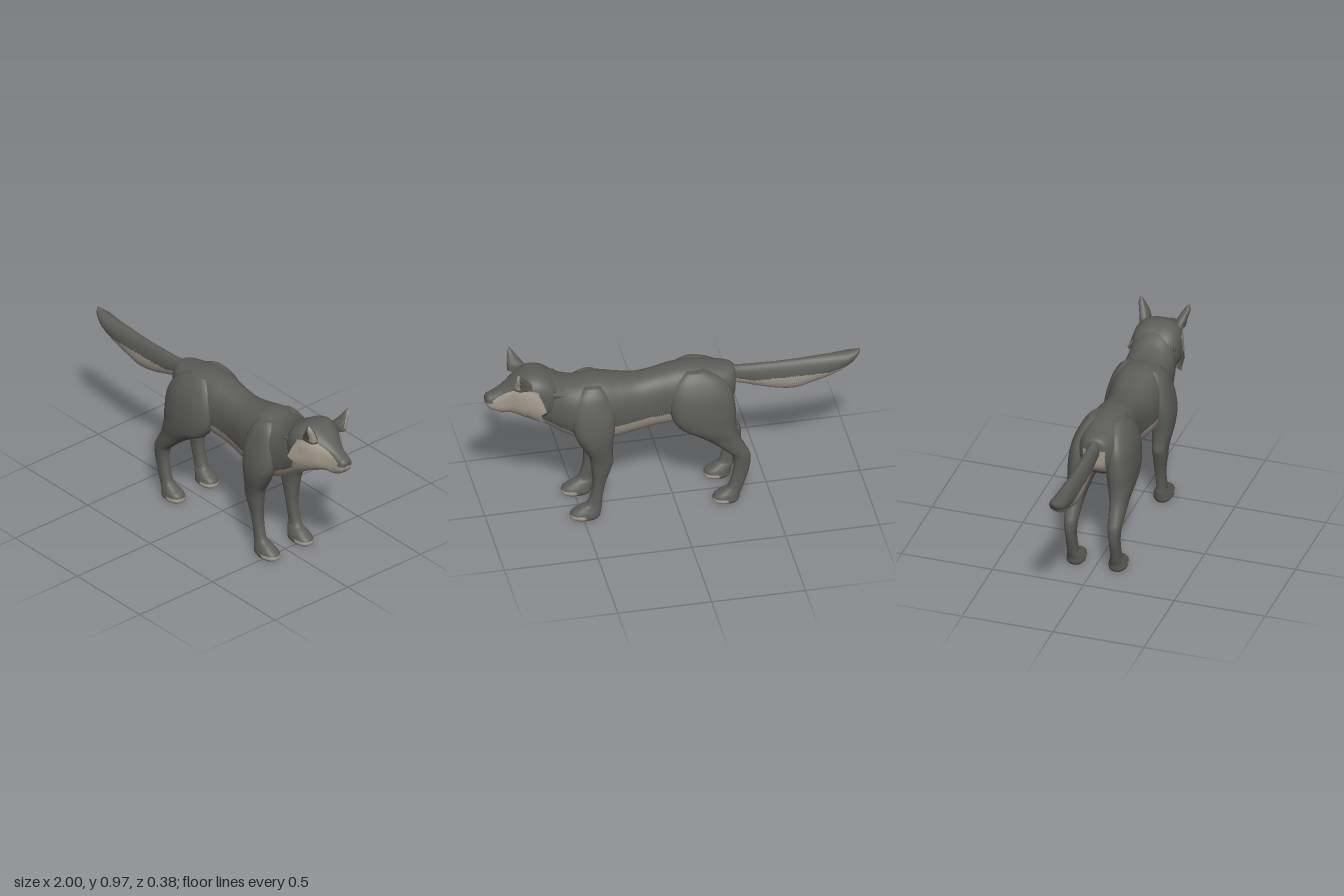
import * as THREE from 'three';

const coat = new THREE.MeshStandardMaterial({ color: 0x5c5d58 });
coat.name = 'dark grey coat';
const pale = new THREE.MeshStandardMaterial({ color: 0xa69b8e });
pale.name = 'pale underfur';

// Smooth interpolation through the rows of numbers that describe a part
function smoothRows(rows, steps) {
  const out = [];
  for (let i = 0; i < rows.length - 1; i++) {
    const a = rows[Math.max(i - 1, 0)], b = rows[i], c = rows[i + 1], d = rows[Math.min(i + 2, rows.length - 1)];
    for (let s = 0; s < steps; s++) {
      const t = s / steps;
      out.push(b.map((v, k) => {
        const m0 = (c[k] - a[k]) / 2, m1 = (d[k] - v) / 2;
        return v + m0 * t + (3 * (c[k] - v) - 2 * m0 - m1) * t * t + (2 * (v - c[k]) + m0 + m1) * t * t * t;
      }));
    }
  }
  out.push(rows[rows.length - 1]);
  return out;
}

// Loft of rounded rings. Each row is [t, aMin, aMax, zMin, zMax]:
// axis 'x' runs along x with a = y, axis 'y' runs up y with a = x.
// isPale(centre, normal) picks the colour of each triangle.
function loft(name, axis, rows, isPale, { steps = 6, segs = 48, power = 0.85 } = {}) {
  const pos = [], tris = [];
  const rings = smoothRows(rows, steps);
  const put = (t, a, z) => (axis === 'x' ? pos.push(t, a, z) : pos.push(a, t, z));
  const bend = (v) => Math.sign(v) * Math.abs(v) ** power;
  for (const [t, a0, a1, z0, z1] of rings) {
    for (let j = 0; j < segs; j++) {
      const q = (j / segs) * Math.PI * 2;
      put(t, (a0 + a1) / 2 + bend(Math.sin(q)) * (a1 - a0) / 2, (z0 + z1) / 2 + bend(Math.cos(q)) * (z1 - z0) / 2);
    }
  }
  const tri = (a, b, c) => tris.push(axis === 'x' ? [a, b, c] : [a, c, b]);
  const n = rings.length;
  for (const r of [rings[0], rings[n - 1]]) put(r[0], (r[1] + r[2]) / 2, (r[3] + r[4]) / 2);
  for (let j = 0; j < segs; j++) {
    const k = (j + 1) % segs;
    for (let i = 0; i < n - 1; i++) {
      const p = i * segs, q = p + segs;
      tri(p + j, q + j, p + k);
      tri(p + k, q + j, q + k);
    }
    tri(n * segs, j, k);
    tri(n * segs + 1, (n - 1) * segs + k, (n - 1) * segs + j);
  }
  // Sort the triangles into a dark and a pale group
  const at = (i) => new THREE.Vector3().fromArray(pos, i * 3);
  const sorted = [[], []];
  for (const f of tris) {
    const [a, b, c] = f.map(at);
    const normal = new THREE.Triangle(a, b, c).getNormal(new THREE.Vector3());
    const centre = a.add(b).add(c).divideScalar(3);
    sorted[isPale && isPale(centre, normal) ? 1 : 0].push(...f);
  }
  const geo = new THREE.BufferGeometry();
  geo.setAttribute('position', new THREE.Float32BufferAttribute(pos, 3));
  geo.setIndex([...sorted[0], ...sorted[1]]);
  geo.addGroup(0, sorted[0].length, 0);
  geo.addGroup(sorted[0].length, sorted[1].length, 1);
  geo.computeVertexNormals();
  const mesh = new THREE.Mesh(geo, [coat, pale]);
  mesh.name = name;
  return mesh;
}

// Rows [x, bottom, top, halfWidth] of a part centred on z = 0
const centred = (rows) => rows.map(([x, lo, hi, w]) => [x, lo, hi, -w, w]);
// Rows of the left side moved to side s
const sided = (rows, s) => rows.map(([t, a, b, z0, z1]) => (s > 0 ? [t, a, b, z0, z1] : [t, a, b, -z1, -z0]));

const bodyRows = [
  [-0.33, 0.64, 0.76, 0.04], [-0.315, 0.6, 0.785, 0.075], [-0.25, 0.54, 0.8, 0.11], [-0.12, 0.5, 0.823, 0.12],
  [0, 0.487, 0.82, 0.12], [0.1, 0.478, 0.8, 0.112], [0.2, 0.462, 0.787, 0.118], [0.3, 0.446, 0.8, 0.135],
  [0.4, 0.44, 0.82, 0.145], [0.5, 0.46, 0.812, 0.145], [0.58, 0.5, 0.828, 0.135], [0.66, 0.555, 0.873, 0.122],
  [0.74, 0.61, 0.888, 0.1], [0.78, 0.66, 0.86, 0.06],
];
const tailRows = [
  [-1, 0.768, 0.782, 0.006], [-0.98, 0.735, 0.778, 0.025], [-0.93, 0.69, 0.773, 0.042], [-0.85, 0.645, 0.768, 0.043],
  [-0.75, 0.612, 0.765, 0.042], [-0.65, 0.587, 0.762, 0.04], [-0.55, 0.6, 0.762, 0.038], [-0.45, 0.63, 0.765, 0.035],
  [-0.36, 0.66, 0.77, 0.033], [-0.28, 0.68, 0.785, 0.035],
];
const headRows = [
  [0.6, 0.7, 0.82, 0.08], [0.66, 0.65, 0.872, 0.122], [0.71, 0.635, 0.897, 0.132], [0.76, 0.632, 0.902, 0.13],
  [0.8, 0.64, 0.89, 0.118], [0.84, 0.66, 0.868, 0.096], [0.88, 0.668, 0.838, 0.068], [0.92, 0.668, 0.812, 0.05],
  [0.96, 0.685, 0.79, 0.043], [0.987, 0.707, 0.778, 0.036], [1, 0.728, 0.765, 0.022],
];
const foreRows = [
  [0, 0.42, 0.555, 0.075, 0.155], [0.015, 0.41, 0.57, 0.065, 0.165], [0.04, 0.405, 0.563, 0.068, 0.162],
  [0.07, 0.4, 0.52, 0.08, 0.152], [0.1, 0.4, 0.475, 0.092, 0.147], [0.2, 0.385, 0.45, 0.088, 0.148],
  [0.3, 0.355, 0.455, 0.085, 0.16], [0.35, 0.34, 0.462, 0.083, 0.165], [0.4, 0.345, 0.475, 0.08, 0.174],
  [0.47, 0.345, 0.515, 0.075, 0.187], [0.55, 0.335, 0.55, 0.075, 0.19], [0.65, 0.33, 0.555, 0.06, 0.173],
  [0.75, 0.36, 0.53, 0.04, 0.14], [0.8, 0.4, 0.48, 0.05, 0.1],
];
const hindRows = [
  [0, -0.32, -0.205, 0.075, 0.155], [0.015, -0.33, -0.19, 0.065, 0.165], [0.045, -0.335, -0.2, 0.07, 0.16],
  [0.07, -0.345, -0.24, 0.08, 0.152], [0.1, -0.355, -0.275, 0.09, 0.148], [0.2, -0.385, -0.3, 0.092, 0.148],
  [0.28, -0.39, -0.295, 0.085, 0.155], [0.33, -0.37, -0.25, 0.08, 0.16], [0.4, -0.335, -0.165, 0.07, 0.165],
  [0.45, -0.32, -0.09, 0.055, 0.175], [0.5, -0.315, -0.01, 0.04, 0.18], [0.58, -0.315, 0.03, 0.03, 0.18],
  [0.68, -0.3, 0.03, 0.03, 0.165], [0.76, -0.25, 0, 0.03, 0.13], [0.81, -0.16, -0.06, 0.04, 0.09],
];
const earRows = [
  [0.85, 0.76, 0.86, 0.07, 0.122], [0.88, 0.775, 0.862, 0.074, 0.127], [0.91, 0.8, 0.86, 0.09, 0.135],
  [0.94, 0.822, 0.857, 0.108, 0.142], [0.966, 0.84, 0.847, 0.128, 0.136],
];

// Pale areas
function bodyPale({ x, y, z }) {
  if (x < -0.28) return Math.abs(z) < 0.06 && y > 0.58 && y < 0.72;
  if (x < -0.03) return false;
  if (x < 0.45) return y < 0.59 - 0.08 * x;
  return y < 0.52 + (x - 0.5) * 0.58;
}
const tailPale = ({ x, y }) => x < -0.31 && y < 0.68 + 0.5 * Math.max(0, Math.abs(x + 0.63) - 0.2) ** 1.2;
function headPale({ x, y, z }) {
  if (x < 0.735) return false;
  if (x > 0.965) return y < 0.742;
  const brow = x < 0.83 ? 0.835 + (x - 0.76) * 0.15 : 0.845 - (x - 0.83) * 0.62;
  return y < brow && (Math.abs(z) > 0.028 || y < 0.74);
}
const pawPale = (front) => ({ x, y }) => y < 0.004 || (y < 0.03 && x > front - 0.075);

// Jagged cheek fur: pairs of a root on the face and a tip swept back
function cheekRuff() {
  const roots = [[0.8, 0.845, 0.108], [0.8, 0.8, 0.118], [0.8, 0.75, 0.12], [0.8, 0.71, 0.116], [0.8, 0.68, 0.1],
    [0.8, 0.66, 0.08], [0.8, 0.65, 0.06], [0.8, 0.642, 0.03], [0.8, 0.635, 0]];
  const tips = [[0.75, 0.84, 0.125], [0.722, 0.79, 0.14], [0.7, 0.728, 0.157], [0.728, 0.7, 0.143], [0.705, 0.642, 0.135],
    [0.735, 0.636, 0.1], [0.72, 0.615, 0.07], [0.735, 0.615, 0.045], [0.71, 0.583, 0]];
  const wrap = (list) => [...list, ...list.slice(0, -1).reverse().map(([x, y, z]) => [x, y, -z])];
  const a = wrap(roots), b = wrap(tips), n = a.length;
  const group = new THREE.Group();
  group.name = 'cheekRuff';
  for (const outside of [true, false]) {
    const index = [];
    for (let i = 0; i < n - 1; i++) {
      const quad = [i, i + 1, n + i, i + 1, n + i + 1, n + i];
      index.push(...(outside ? quad.reverse() : quad));
    }
    const geo = new THREE.BufferGeometry();
    geo.setAttribute('position', new THREE.Float32BufferAttribute([...a, ...b].flat(), 3));
    geo.setIndex(index);
    geo.computeVertexNormals();
    const mesh = new THREE.Mesh(geo, outside ? pale : coat);
    mesh.name = outside ? 'ruffOutside' : 'ruffBack';
    group.add(mesh);
  }
  return group;
}

export function createModel() {
  const wolf = new THREE.Group();
  wolf.name = 'wolf';
  wolf.add(
    loft('body', 'x', centred(bodyRows), bodyPale, { steps: 9, segs: 72 }),
    loft('tail', 'x', centred(tailRows), tailPale, { steps: 8, segs: 48, power: 1 }),
    loft('head', 'x', centred(headRows), headPale, { steps: 9, segs: 80, power: 0.75 }),
    cheekRuff(),
  );
  for (const s of [1, -1]) {
    const side = s > 0 ? 'PlusZ' : 'MinusZ';
    wolf.add(
      loft('foreLeg' + side, 'y', sided(foreRows, s), pawPale(0.57)),
      loft('hindLeg' + side, 'y', sided(hindRows, s), pawPale(-0.19)),
      // Ear with a pale hollow facing forwards and outwards
      loft('ear' + side, 'y', sided(earRows, s), (c, n) => c.y > 0.865 && n.x * 0.85 + n.z * s * 0.5 > 0.62, { segs: 32 }),
    );
    // Small tuft of neck fur swept back
    const tuft = new THREE.Mesh(new THREE.ConeGeometry(0.022, 0.07, 10), coat);
    tuft.name = 'neckTuft' + side;
    tuft.scale.z = 0.4;
    tuft.position.set(0.635, 0.795, s * 0.12);
    tuft.rotation.set(0, s * 0.25, Math.PI / 2);
    wolf.add(tuft);
  }
  return wolf;
}
